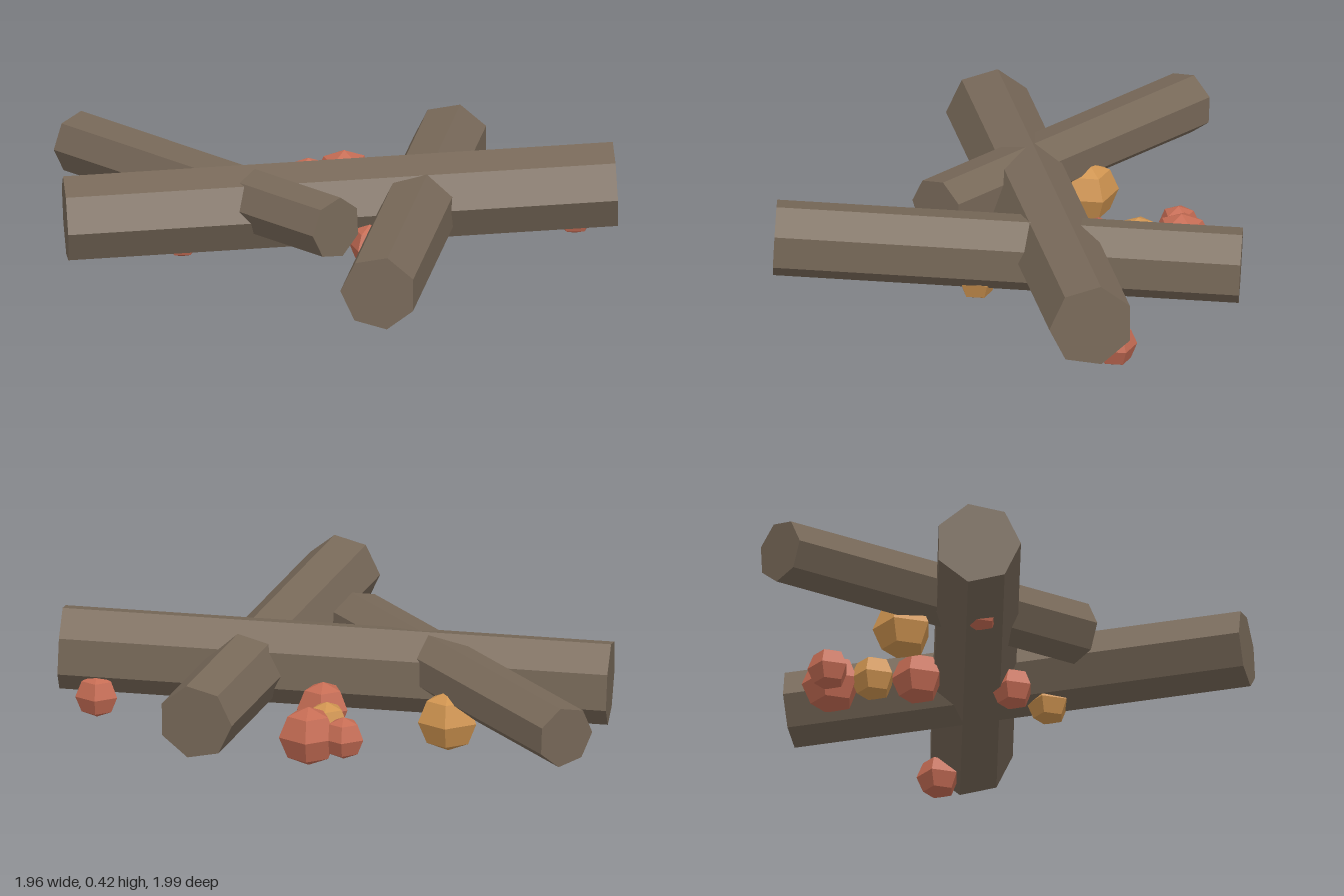
import * as THREE from 'three';

function material(name, color) {
  const m = new THREE.MeshStandardMaterial({ color, flatShading: true });
  m.name = name;
  return m;
}

export function createModel() {
  const model = new THREE.Group();
  model.name = 'campfire';
  const wood = material('charred wood', 0x786959);
  const red = material('red ember', 0xc56c54);
  const orange = material('orange ember', 0xcf9450);

  // Seven-sided log lying between two end points
  function addLog(name, radius, low, high) {
    const a = new THREE.Vector3(...low);
    const b = new THREE.Vector3(...high);
    const d = b.clone().sub(a);
    const geometry = new THREE.CylinderGeometry(radius, radius, d.length(), 7);
    geometry.rotateZ(-Math.PI / 2);
    const log = new THREE.Mesh(geometry, wood);
    log.name = name;
    log.position.copy(a).add(b).multiplyScalar(0.5);
    log.rotation.order = 'YZX';
    log.rotation.y = Math.atan2(-d.z, d.x);
    log.rotation.z = Math.asin(d.y / d.length());
    model.add(log);
  }
  addLog('longLog', 0.154, [-0.936, 0.193, -0.315], [0.937, 0.27, 0.267]);
  addLog('frontLog', 0.138, [0.613, 0.195, -0.507], [-0.222, 0.275, 0.927]);
  addLog('backLog', 0.113, [-0.64, 0.2, -0.96], [-0.146, 0.28, 0.316]);

  // Embers: x, y, z, radius, material
  const embers = [
    [0.197, 0.115, -0.49, 0.108, red],
    [0.08, 0.115, -0.54, 0.077, red],
    [0.105, 0.115, -0.365, 0.083, orange],
    [0.085, 0.128, -0.205, 0.095, red],
    [-0.33, 0.11, -0.395, 0.11, orange],
    [0.84, 0.122, 0.12, 0.079, red],
    [0.05, 0.122, 0.14, 0.077, red],
    [0.13, 0.122, 0.3, 0.078, orange],
    [-0.545, 0.115, -0.175, 0.07, red],
  ];
  embers.forEach(([x, y, z, r, mat], i) => {
    const ember = new THREE.Mesh(new THREE.SphereGeometry(r, 5, 4), mat);
    ember.name = `ember${i + 1}`;
    ember.position.set(x, y, z);
    ember.rotation.y = Math.PI;
    model.add(ember);
  });

  return model;
}
